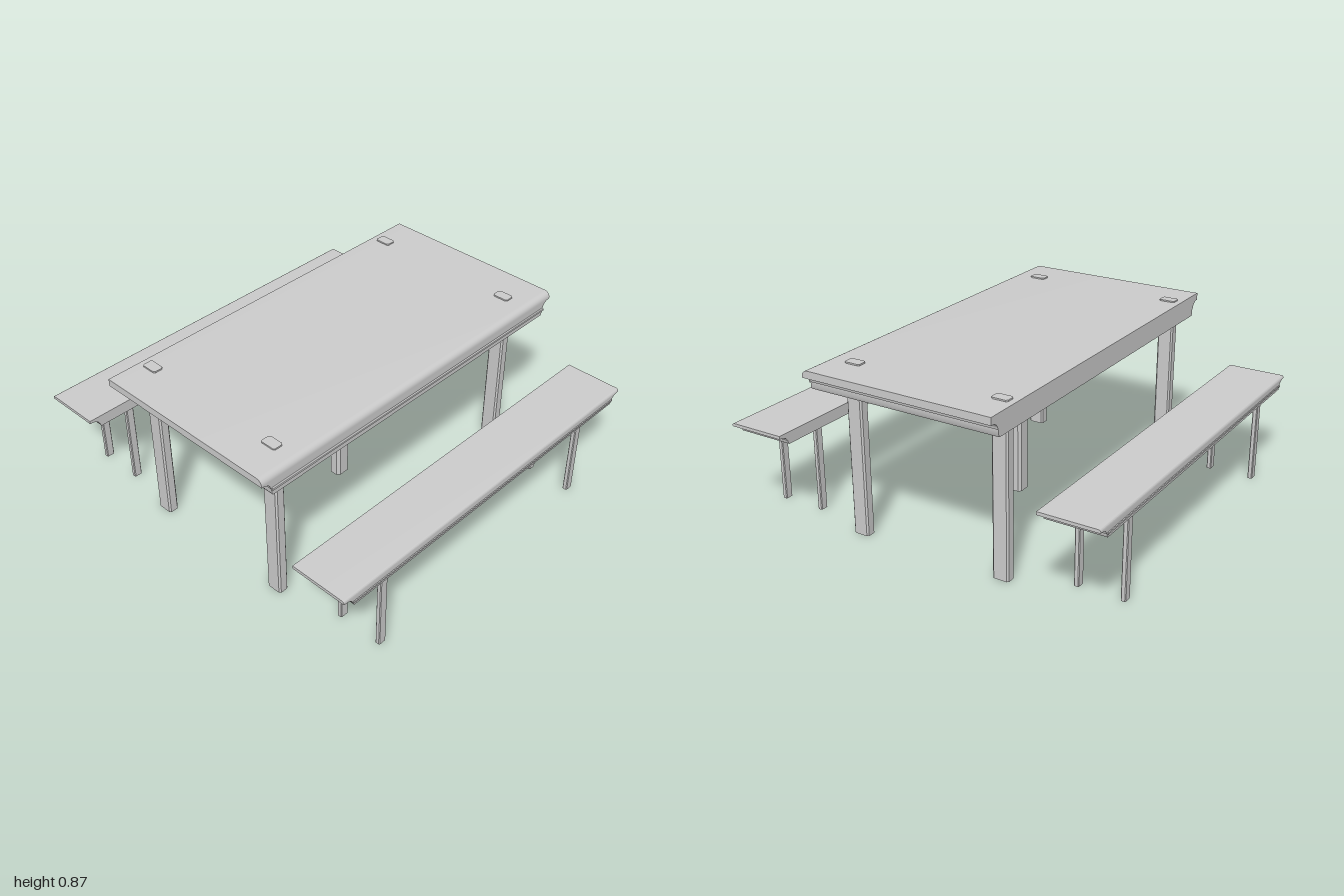
import * as THREE from 'three';
import { toCreasedNormals } from 'three/addons/utils/BufferGeometryUtils.js';

const material = new THREE.MeshStandardMaterial({ color: 0xcccccc });

function addMesh(parent, name, geometry) {
  const mesh = new THREE.Mesh(geometry, material);
  mesh.name = name;
  parent.add(mesh);
  return mesh;
}

// Board with coved ends (half profile in x, y) and one rounded long edge at zFront
function mouldedBoard({ bottom, top, coveTop, coveBottom, zBack, zFront, radius }) {
  const half = 0.995, inner = 0.945, foot = 0.937;
  const side = [[half, top], [half, coveTop]];
  const n = 6;
  for (let i = 0; i <= n; i++) {
    const a = (i / n) * Math.PI / 2;
    side.push([
      half - 0.008 - (half - 0.008 - inner) * Math.sin(a),
      coveBottom + (coveTop - coveBottom) * Math.cos(a),
    ]);
  }
  side.push([foot + 0.003, coveBottom], [foot + 0.003, bottom + 0.012], [foot - 0.003, bottom]);
  const mirrored = side.map(([x, y]) => [-x, y]).reverse();
  const shape = new THREE.Shape([...side, ...mirrored].map(([x, y]) => new THREE.Vector2(x, y)));

  const steps = 7;
  const geometry = new THREE.ExtrudeGeometry(shape, { depth: 1, steps, bevelEnabled: false });
  const pos = geometry.attributes.position;
  for (let i = 0; i < pos.count; i++) {
    const ring = Math.round(pos.getZ(i) * steps);
    if (ring === 0) {
      pos.setZ(i, zBack);
      continue;
    }
    // the remaining rings follow a quarter round
    const a = ((ring - 1) / (steps - 1)) * Math.PI / 2;
    pos.setZ(i, zFront - radius + radius * Math.sin(a));
    pos.setY(i, Math.min(pos.getY(i), top - radius + radius * Math.cos(a)));
  }
  return toCreasedNormals(geometry, 0.6);
}

// Upright post with chamfered corners, standing on the ground
function post(width, depth, height, chamfer) {
  const w = width / 2, d = depth / 2, c = chamfer;
  const shape = new THREE.Shape([
    [w - c, -d], [w, -d + c], [w, d - c], [w - c, d],
    [-w + c, d], [-w, d - c], [-w, -d + c], [-w + c, -d],
  ].map(([x, y]) => new THREE.Vector2(x, y)));
  const geometry = new THREE.ExtrudeGeometry(shape, { depth: height, bevelEnabled: false });
  return geometry.rotateX(-Math.PI / 2);
}

function createTable() {
  const table = new THREE.Group();
  table.name = 'table';
  addMesh(table, 'tableTop', mouldedBoard({
    bottom: 0.755, top: 0.865, coveTop: 0.828, coveBottom: 0.792,
    zBack: -0.482, zFront: 0.528, radius: 0.03,
  }));
  addMesh(table, 'tableTopLip', new THREE.BoxGeometry(1.88, 0.01, 0.03)).position.set(0, 0.791, 0.522);

  // corner legs come through the top
  for (const x of [-0.797, 0.798]) {
    for (const z of [-0.408, 0.383]) {
      addMesh(table, 'tableLeg', post(0.054, 0.084, 0.872, 0.008)).position.set(x, 0, z);
    }
  }
  addMesh(table, 'tableCentreLeg', post(0.084, 0.068, 0.76, 0.014)).position.set(0.003, 0, 0.013);
  return table;
}

function createBench(name, legXs) {
  const bench = new THREE.Group();
  bench.name = name;
  addMesh(bench, 'benchSeat', mouldedBoard({
    bottom: 0.44, top: 0.5, coveTop: 0.484, coveBottom: 0.46,
    zBack: 0.697, zFront: 0.995, radius: 0.01,
  }));
  addMesh(bench, 'benchSeatLip', new THREE.BoxGeometry(1.88, 0.008, 0.02)).position.set(0, 0.46, 0.99);
  for (const x of legXs) {
    for (const z of [0.72, 0.952]) {
      addMesh(bench, 'benchLeg', post(0.043, 0.025, 0.445, 0.004)).position.set(x, 0, z);
    }
  }
  return bench;
}

export function createModel() {
  const model = new THREE.Group();
  model.name = 'picnicTable';
  model.add(createTable());
  model.add(createBench('frontBench', [-0.712, 0.712]));
  // the back bench is turned round, so its rounded edge faces outwards
  const back = createBench('backBench', [-0.67, 0.752]);
  back.rotation.y = Math.PI;
  model.add(back);
  return model;
}
